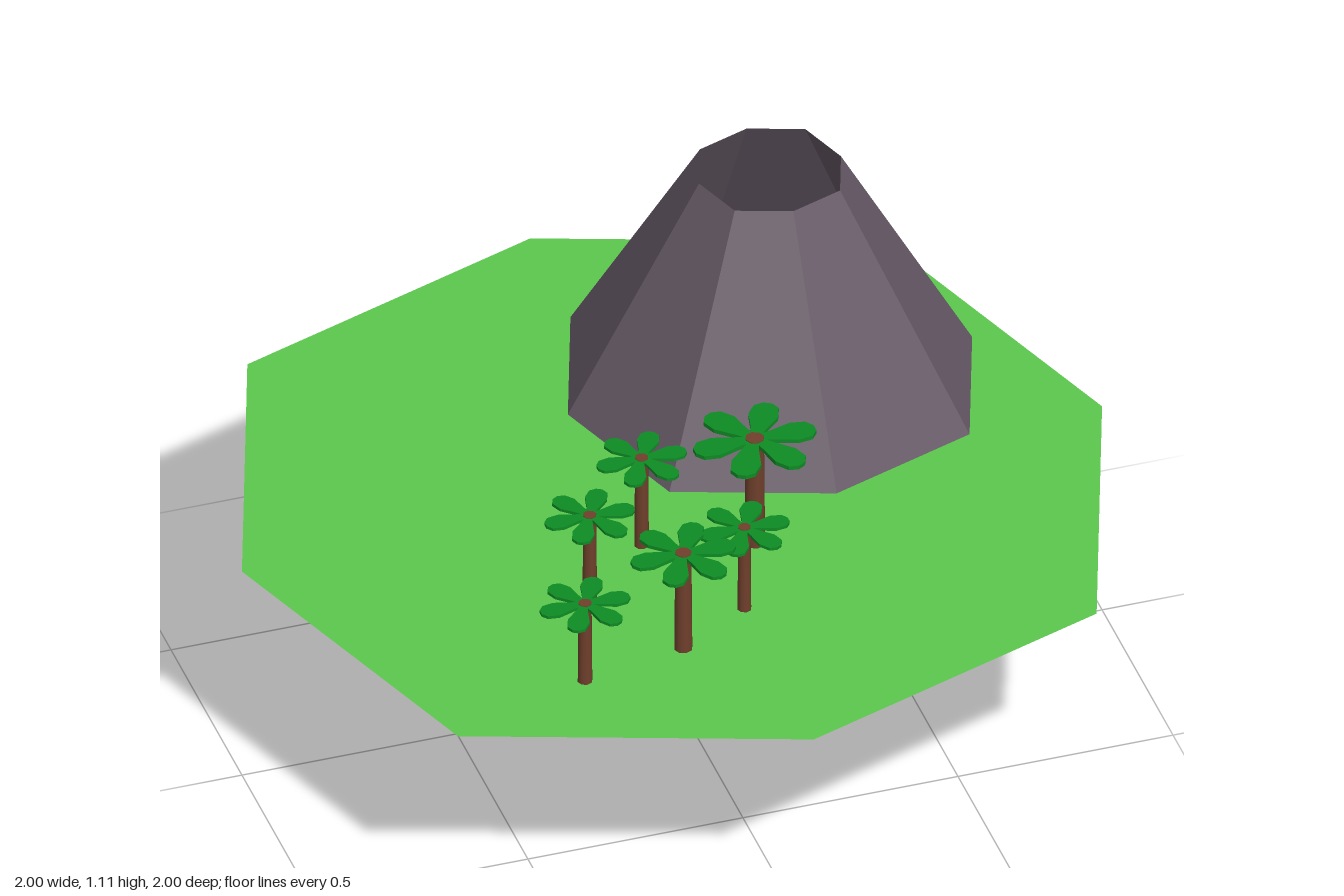
import * as THREE from 'three';

const mat = (name, color, extra = {}) => {
  const m = new THREE.MeshStandardMaterial({ color, ...extra });
  m.name = name;
  return m;
};

// Flat-shaded eight-sided lathe whose diagonal corners reach slightly further out
function octagon(profile) {
  const lathe = new THREE.LatheGeometry(profile.map(([r, y]) => new THREE.Vector2(r, y)), 8);
  const p = lathe.attributes.position;
  for (let i = 0; i < p.count; i++) {
    const x = p.getX(i), z = p.getZ(i);
    if (Math.abs(x * z) > 1e-6) p.setXYZ(i, x * 1.05, p.getY(i), z * 1.05);
  }
  const geo = lathe.toNonIndexed();
  geo.computeVertexNormals();
  return geo;
}

// Blunt leaf blade, one unit long, narrow at the stem
function leafGeometry() {
  const s = new THREE.Shape();
  s.moveTo(0, -0.06);
  s.lineTo(0.3, -0.13);
  s.lineTo(0.65, -0.24);
  s.lineTo(0.9, -0.2);
  s.lineTo(1, -0.07);
  s.lineTo(1, 0.07);
  s.lineTo(0.9, 0.2);
  s.lineTo(0.65, 0.24);
  s.lineTo(0.3, 0.13);
  s.lineTo(0, 0.06);
  s.closePath();
  const geo = new THREE.ExtrudeGeometry(s, { depth: 0.07, bevelEnabled: false });
  geo.rotateX(-Math.PI / 2);
  return geo;
}

export function createModel() {
  const model = new THREE.Group();
  model.name = 'floatingIsland';
  const GROUND = 0.553;

  const grass = mat('grass', 0x5cc84e);
  const dirt = mat('dirt', 0x604a3c);
  const rock = mat('rock', 0x665a66, { side: THREE.DoubleSide });
  const bark = mat('bark', 0x70402c);
  const foliage = mat('foliage', 0x0e8c24);

  const add = (parent, name, geo, material, x = 0, y = 0, z = 0) => {
    const mesh = new THREE.Mesh(geo, material);
    mesh.name = name;
    mesh.position.set(x, y, z);
    parent.add(mesh);
    return mesh;
  };

  // Island: earth underside and a thin turf layer
  add(model, 'earth', octagon([[0, 0], [0.085, 0], [0.55, 0.31], [0.95, 0.527]]), dirt);
  add(model, 'turf', octagon([[0.95, 0.527], [1, GROUND], [0, GROUND]]), grass);

  // Hollow volcano with an earthen crater floor
  const volcano = new THREE.Group();
  volcano.name = 'volcano';
  volcano.position.set(0.34, GROUND, -0.34);
  model.add(volcano);
  add(volcano, 'cone', octagon([[0.47, 0], [0.165, 0.559]]), rock);
  add(volcano, 'craterFloor', octagon([[0.46, 0.006], [0, 0.006]]), dirt);

  // Palm trees: x, z, height, crown radius, trunk radius
  const leaf = leafGeometry();
  const trees = [
    [0.11, 0.25, 0.285, 0.14, 0.024],
    [-0.13, 0.18, 0.238, 0.103, 0.017],
    [-0.31, 0.36, 0.245, 0.103, 0.017],
    [0.01, 0.48, 0.222, 0.103, 0.016],
    [-0.165, 0.58, 0.26, 0.12, 0.021],
    [-0.41, 0.63, 0.212, 0.103, 0.017],
  ];
  for (const [x, z, h, crown, r] of trees) {
    const tree = new THREE.Group();
    tree.name = 'palmTree';
    tree.position.set(x, GROUND, z);
    model.add(tree);
    add(tree, 'trunk', new THREE.CylinderGeometry(r * 0.9, r, h, 8), bark, 0, h / 2, 0);
    for (let i = 0; i < 6; i++) {
      const blade = add(tree, 'leaf', leaf, foliage, 0, h - crown * 0.08, 0);
      blade.scale.setScalar(crown);
      blade.rotation.set(0, (i * Math.PI) / 3, -0.02);
    }
  }
  return model;
}
